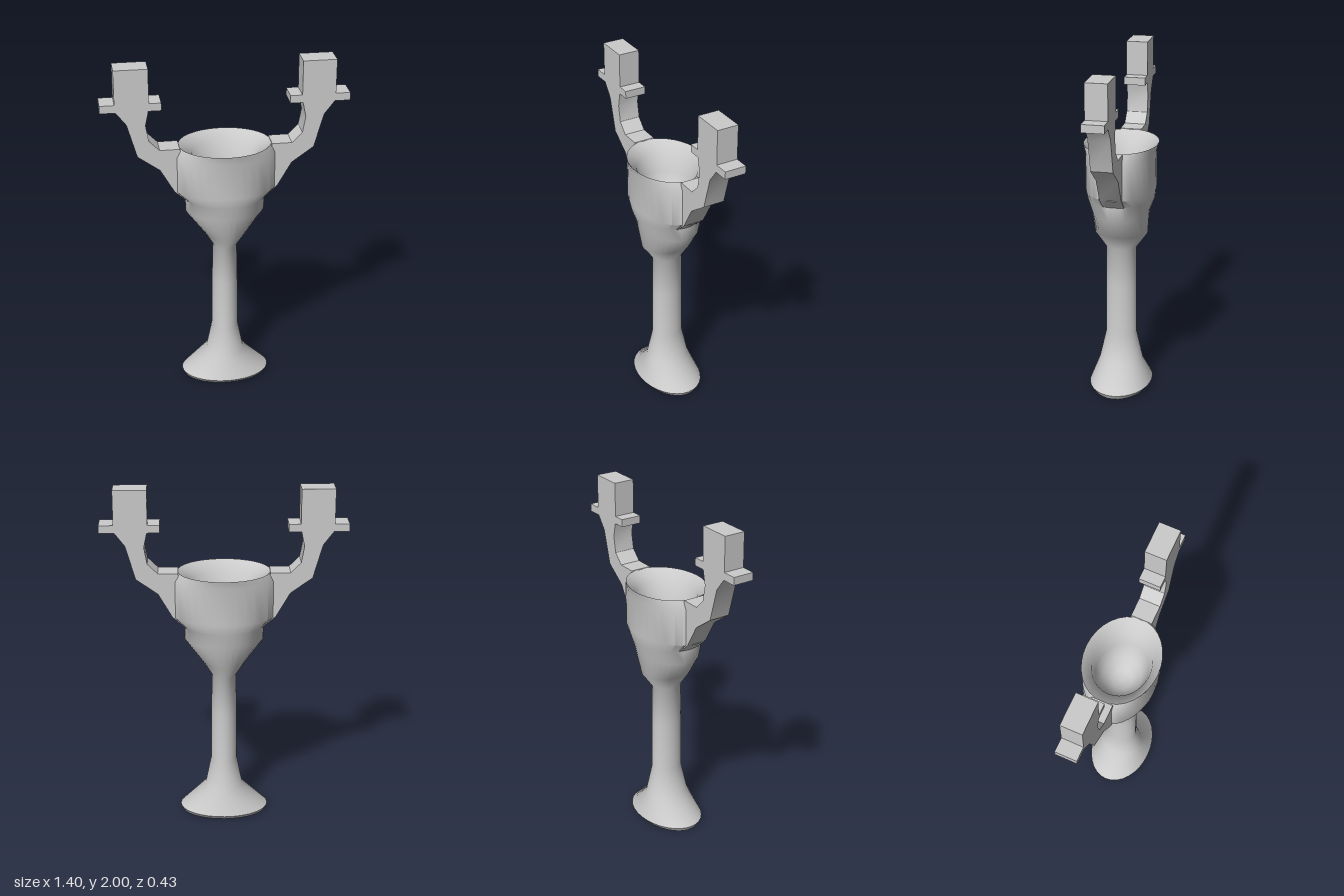
import * as THREE from 'three';
import { toCreasedNormals } from 'three/addons/utils/BufferGeometryUtils.js';

const material = new THREE.MeshStandardMaterial({ color: 0xcccccc });

// Closed profile of the goblet: [y, half width in x, half depth in z]
const SECTIONS = [
  // foot
  [0.005, 0, 0], [0.005, 0.25, 0.165], [0.03, 0.262, 0.185], [0.17, 0.11, 0.13],
  // stem
  [0.34, 0.077, 0.092], [0.65, 0.075, 0.09], [0.885, 0.07, 0.09],
  // collar under the bowl
  [0.975, 0.125, 0.155], [1.11, 0.228, 0.163], [1.195, 0.23, 0.195],
  // bowl outside and rim
  [1.255, 0.295, 0.2], [1.47, 0.295, 0.2], [1.52, 0.265, 0.214],
  // hollow
  [1.46, 0.19, 0.165], [1.36, 0.165, 0.145], [1.26, 0.12, 0.11], [1.21, 0.06, 0.055], [1.2, 0, 0],
];

// Lathe whose rings are squashed into ellipses
function ellipticalLathe(sections, segments) {
  const points = sections.map(([y, rx]) => new THREE.Vector2(rx, y));
  const geometry = new THREE.LatheGeometry(points, segments);
  const position = geometry.attributes.position;
  for (let i = 0; i < position.count; i++) {
    const [, rx, rz] = sections[i % sections.length];
    if (rx > 0) position.setZ(i, position.getZ(i) * rz / rx);
  }
  return toCreasedNormals(geometry, 0.7);
}

// Bent arm, outlined in the front plane
const ARM = [
  [0.2, 1.2], [0.215, 1.185], [0.295, 1.255], [0.375, 1.395], [0.5, 1.485],
  [0.555, 1.68], [0.62, 1.765], [0.43, 1.765], [0.45, 1.67], [0.433, 1.575],
  [0.375, 1.517], [0.262, 1.517], [0.245, 1.45], [0.235, 1.25],
];
const THICKNESS = 0.125;

function createArm(side) {
  const arm = new THREE.Group();
  arm.name = side > 0 ? 'leftArm' : 'rightArm';
  const add = (name, geometry, x, y, z) => {
    const mesh = new THREE.Mesh(geometry, material);
    mesh.name = name;
    mesh.position.set(x, y, z);
    arm.add(mesh);
  };

  const points = ARM.map(([x, y]) => new THREE.Vector2(side * x, y));
  const bracket = new THREE.ExtrudeGeometry(new THREE.Shape(points), { depth: THICKNESS, bevelEnabled: false });
  add('bracket', toCreasedNormals(bracket, 0.45), 0, 0, -THICKNESS / 2);
  add('crossbar', new THREE.BoxGeometry(0.34, 0.045, THICKNESS), side * 0.53, 1.778, 0);
  add('post', new THREE.BoxGeometry(0.19, 0.24, THICKNESS), side * 0.523, 1.88, 0);
  return arm;
}

export function createModel() {
  const model = new THREE.Group();
  model.name = 'forkedGoblet';

  const goblet = new THREE.Mesh(ellipticalLathe(SECTIONS, 32), material);
  goblet.name = 'goblet';
  goblet.position.y = -0.005;
  model.add(goblet, createArm(1), createArm(-1));
  return model;
}
